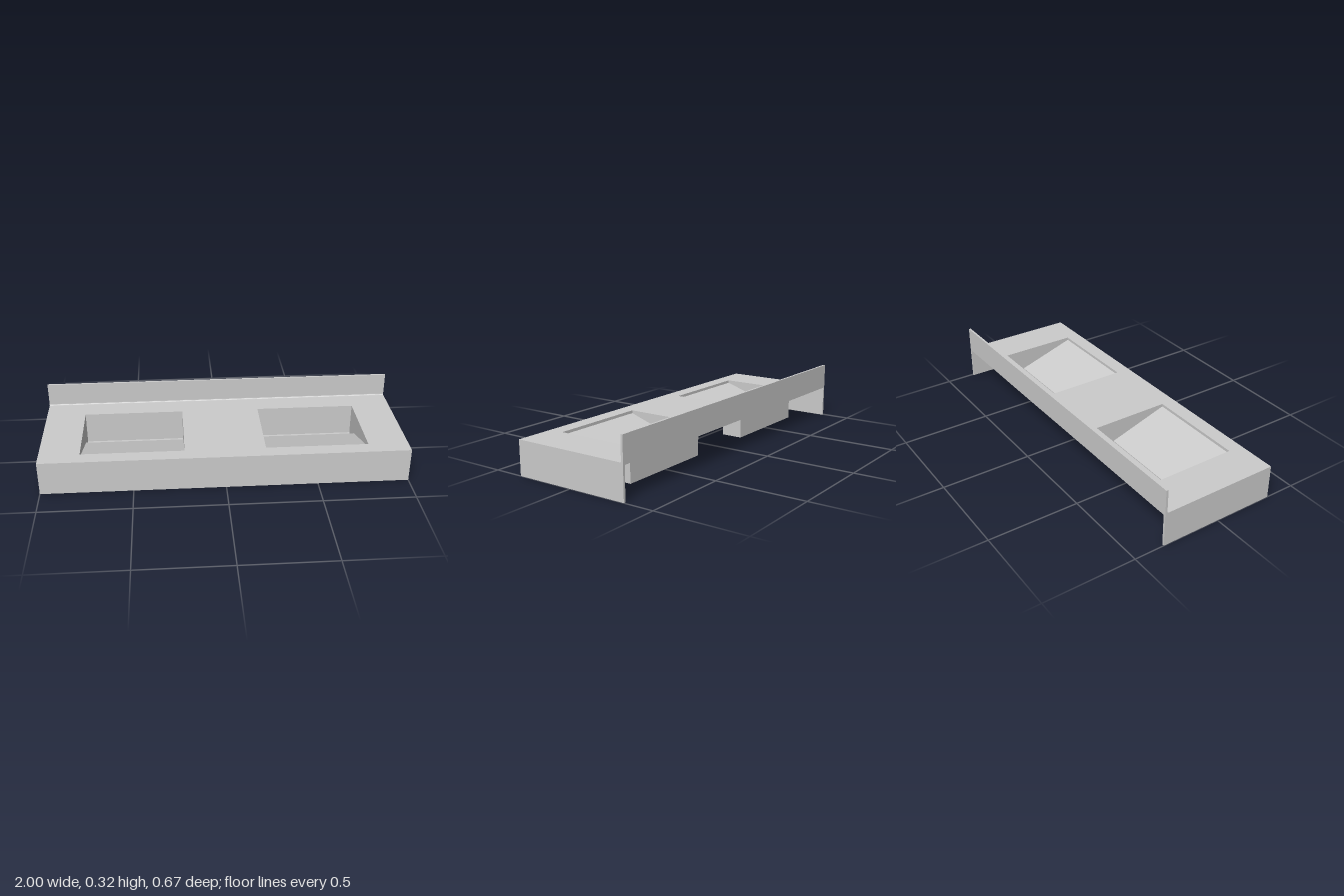
import * as THREE from 'three';

const material = new THREE.MeshStandardMaterial({ color: 0xcccccc });
const TOP = 0.19, DEPTH = 0.333, T = 0.012, WALL = 0.006;
const BASIN_X = 0.5, BASIN_W = 0.56, BASIN_BACK = -0.19, BASIN_FRONT = 0.252, STEP_Z = -0.08;

function add(parent, name, geometry, x = 0, y = 0, z = 0) {
  const mesh = new THREE.Mesh(geometry, material);
  mesh.name = name;
  mesh.position.set(x, y, z);
  parent.add(mesh);
  return mesh;
}

const polygon = (points) => new THREE.Shape(points.map(([a, b]) => new THREE.Vector2(a, b)));

// Extrudes a (z, y) side profile along x, centred on x = 0.
function extrudeAcross(shape, width) {
  const g = new THREE.ExtrudeGeometry(shape, { depth: width, bevelEnabled: false, curveSegments: 5 });
  return g.translate(0, 0, -width / 2).rotateY(-Math.PI / 2);
}

// Flat worktop with two rectangular openings.
function deckGeometry() {
  const shape = polygon([[-1, -DEPTH], [1, -DEPTH], [1, DEPTH], [-1, DEPTH]]);
  for (const s of [-1, 1]) {
    const a = s * BASIN_X - BASIN_W / 2, b = a + BASIN_W;
    shape.holes.push(polygon([[a, BASIN_BACK], [a, BASIN_FRONT], [b, BASIN_FRONT], [b, BASIN_BACK]]));
  }
  return new THREE.ExtrudeGeometry(shape, { depth: T, bevelEnabled: false })
    .rotateX(Math.PI / 2).translate(0, TOP, 0);
}

// Upstand with a small cove where it meets the worktop.
function backsplashGeometry() {
  const face = -DEPTH + T, r = 0.008;
  const shape = new THREE.Shape();
  shape.moveTo(-DEPTH, TOP);
  shape.lineTo(face + r, TOP);
  shape.quadraticCurveTo(face, TOP, face, TOP + r);
  shape.lineTo(face, 0.323);
  shape.lineTo(-DEPTH, 0.323);
  return extrudeAcross(shape, 2);
}

// Ramp basin: a slope falling backwards to a deeper drain channel.
function makeBasin() {
  const basin = new THREE.Group();
  const rim = TOP - T;
  const inner = [
    [BASIN_BACK, rim], [BASIN_BACK, 0.01], [STEP_Z, 0.01],
    [STEP_Z, 0.066], [BASIN_FRONT, rim - 0.004], [BASIN_FRONT, rim],
  ];
  const outer = [
    [BASIN_BACK - WALL, rim], [BASIN_BACK - WALL, 0.004], [STEP_Z + WALL, 0.004],
    [STEP_Z + WALL, 0.062], [BASIN_FRONT + WALL, rim - 0.008], [BASIN_FRONT + WALL, rim],
  ];
  add(basin, 'basinTrough', extrudeAcross(polygon([...outer, ...inner.slice().reverse()]), BASIN_W));
  for (const s of [-1, 1]) {
    add(basin, 'basinSide', extrudeAcross(polygon(outer), WALL), s * (BASIN_W + WALL) / 2);
  }

  // Drain outlet under the channel: a ring with a crossbar.
  const ring = [[0.018, 0], [0.026, 0], [0.026, 0.004], [0.018, 0.004], [0.018, 0]]
    .map(([r, y]) => new THREE.Vector2(r, y));
  const z = (BASIN_BACK + STEP_Z) / 2;
  add(basin, 'drainRing', new THREE.LatheGeometry(ring, 24), 0, 0, z);
  add(basin, 'drainBar', new THREE.BoxGeometry(0.038, 0.003, 0.008), 0, 0.0025, z);
  return basin;
}

export function createModel() {
  const model = new THREE.Group();
  model.name = 'doubleWashbasin';

  add(model, 'worktop', deckGeometry());
  add(model, 'backsplash', backsplashGeometry());

  // Aprons hang below the worktop; the back and underside stay open.
  const h = TOP - T;
  add(model, 'frontApron', new THREE.BoxGeometry(2, h, T), 0, h / 2, DEPTH - T / 2);
  for (const s of [-1, 1]) {
    add(model, 'sideApron', new THREE.BoxGeometry(T, h, 2 * DEPTH - T), s * (1 - T / 2), h / 2, -T / 2);
    const basin = makeBasin();
    basin.name = s > 0 ? 'leftBasin' : 'rightBasin';
    basin.position.x = s * BASIN_X;
    model.add(basin);
  }
  return model;
}
